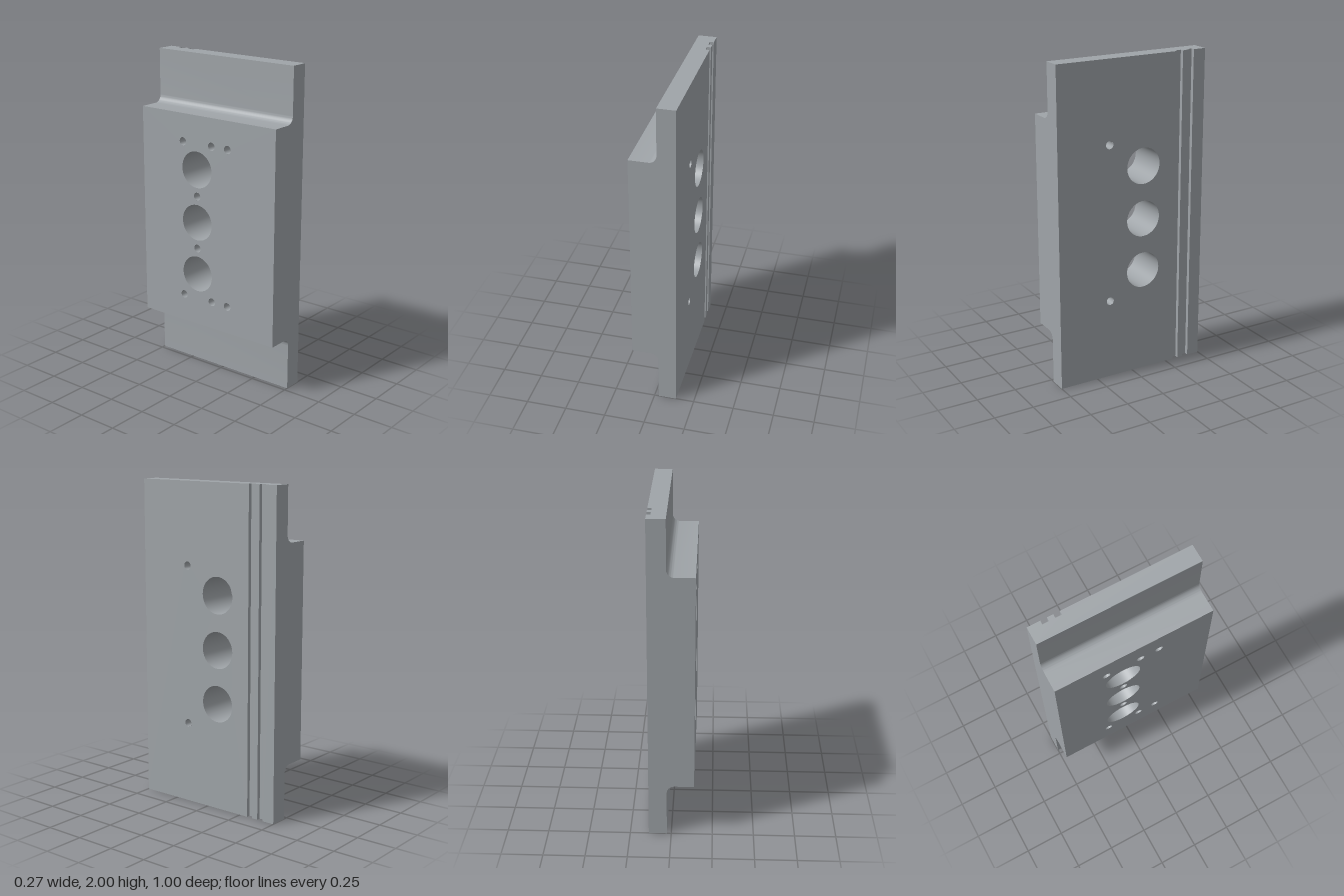
import * as THREE from 'three';
import { mergeGeometries, toCreasedNormals } from 'three/addons/utils/BufferGeometryUtils.js';

const X = 0.137;         // half thickness
const STEP = 0.027;      // back of the thin plate
const GROOVE = 0.113;    // groove floor
const PAD = [0.334, 1.666]; // raised pad, bottom and top
const FILLET = 0.047;

// Holes along x as [z, y, radius]
const through = [
  ...[-0.333, 0, 0.333].map((d) => [-0.075, 1 + d, 0.113]),
  ...[-0.493, 0.493].map((d) => [0.157, 1 + d, 0.025]),
];
const blind = [
  ...[-0.493, 0.493].flatMap((d) => [[-0.182, 1 + d, 0.025], [0.037, 1 + d, 0.025]]),
  ...[-0.166, 0.166].map((d) => [-0.074, 1 + d, 0.025]),
];
const BLIND_DEPTH = 0.15;
const segments = (r) => (r > 0.1 ? 64 : 32);

const polygon = (pts) => new THREE.Shape(pts.map(([a, b]) => new THREE.Vector2(a, b)));

// Flat panel facing +x or -x, pierced by holes
function panel(sign, x, z0, z1, y0, y1, holes) {
  const u = (z) => -sign * z;
  const shape = polygon([[u(z0), y0], [u(z1), y0], [u(z1), y1], [u(z0), y1]]);
  for (const [z, y, r] of holes) {
    shape.holes.push(new THREE.Path().absarc(u(z), y, r, 0, Math.PI * 2));
  }
  return new THREE.ShapeGeometry(shape, 32).rotateY(sign * Math.PI / 2).translate(x, 0, 0);
}

// Open strip following a polyline; at(p, end) places a point at either end of the sweep
function ribbon(pts, at) {
  const pos = [];
  for (let i = 0; i + 1 < pts.length; i++) {
    const a = at(pts[i], 0), b = at(pts[i], 1);
    const c = at(pts[i + 1], 1), d = at(pts[i + 1], 0);
    pos.push(...a, ...d, ...c, ...a, ...c, ...b);
  }
  const g = new THREE.BufferGeometry();
  g.setAttribute('position', new THREE.Float32BufferAttribute(pos, 3));
  return toCreasedNormals(g, 0.5);
}

export function createModel() {
  const group = new THREE.Group();
  const steel = new THREE.MeshStandardMaterial({ color: 0x9fa4a8, side: THREE.DoubleSide });
  steel.name = 'steel grey';
  const add = (name, ...geos) => {
    const mesh = new THREE.Mesh(geos.length > 1 ? mergeGeometries(geos) : geos[0], steel);
    mesh.name = name;
    group.add(mesh);
  };

  // Stepped (x, y) outline with filleted shoulders
  const upper = [[STEP, 2]];
  for (let i = 0; i <= 12; i++) {
    const a = -i / 12 * Math.PI / 2;
    upper.push([STEP - FILLET + FILLET * Math.cos(a), PAD[1] + FILLET + FILLET * Math.sin(a)]);
  }
  upper.push([-X, PAD[1]]);
  const lower = upper.map(([x, y]) => [x, 2 - y]).reverse();

  // Two grooves as an (x, z) outline
  const grooves = [
    [X, -0.305], [GROOVE, -0.305], [GROOVE, -0.343], [X, -0.343],
    [X, -0.381], [GROOVE, -0.381], [GROOVE, -0.42], [X, -0.42], [X, -0.5],
  ];

  // Broad faces
  add('smoothFace', panel(1, X, -0.305, 0.5, 0, 2, through));
  add('padFace', panel(-1, -X, -0.5, 0.5, PAD[0], PAD[1], [...through, ...blind]));
  add('groovedStrip', ribbon(grooves, ([x, z], e) => [x, 2 * e, z]));

  // Step surfaces above and below the pad
  const alongZ = ([x, y], e) => [x, y, e - 0.5];
  add('upperShoulder', ribbon(upper, alongZ));
  add('lowerShoulder', ribbon(lower, alongZ));

  // Side faces at z = +-0.5
  const profile = [...upper, ...lower, [X, 0], [X, 2]];
  add('sideFaces',
    new THREE.ShapeGeometry(polygon(profile)).translate(0, 0, 0.5),
    new THREE.ShapeGeometry(polygon(profile.map(([x, y]) => [-x, y])))
      .rotateY(Math.PI).translate(0, 0, -0.5));

  // Notched top and bottom edges
  const edge = [[X, 0.5], ...grooves, [STEP, -0.5], [STEP, 0.5]];
  add('topAndBottomEdges',
    new THREE.ShapeGeometry(polygon(edge.map(([x, z]) => [x, -z])))
      .rotateX(-Math.PI / 2).translate(0, 2, 0),
    new THREE.ShapeGeometry(polygon(edge)).rotateX(Math.PI / 2));

  // Hole walls and blind hole floors
  const wall = ([z, y, r], x0, x1) =>
    new THREE.CylinderGeometry(r, r, x1 - x0, segments(r), 1, true)
      .rotateZ(Math.PI / 2).translate((x0 + x1) / 2, y, z);
  add('throughHoles', ...through.map((h) => wall(h, -X, X)));
  add('blindHoles', ...blind.flatMap((h) => [
    wall(h, -X, -X + BLIND_DEPTH),
    new THREE.CircleGeometry(h[2], 32).rotateY(-Math.PI / 2).translate(-X + BLIND_DEPTH, h[1], h[0]),
  ]));

  return group;
}
